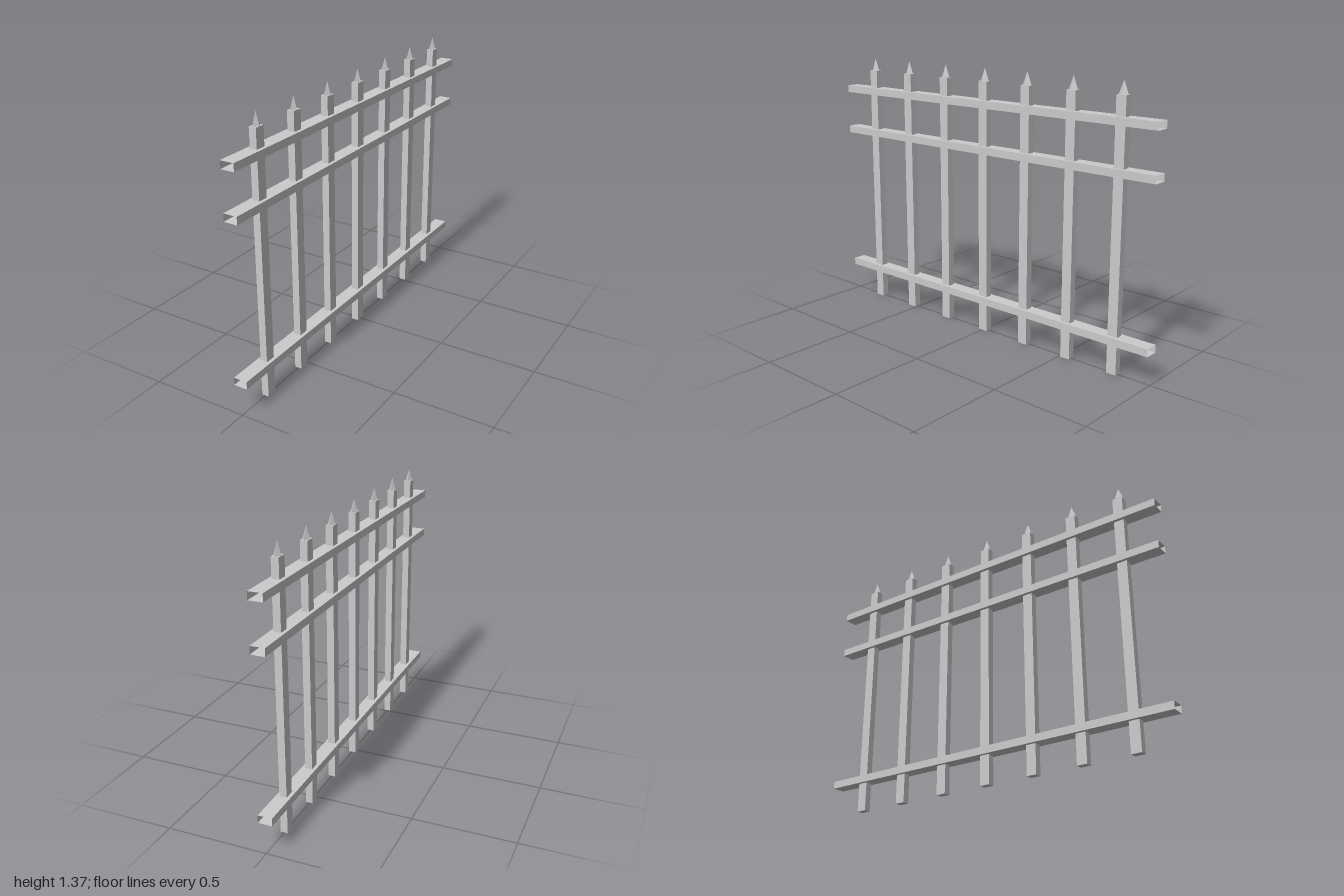
import * as THREE from 'three';

export function createModel() {
  const group = new THREE.Group();
  group.name = 'fence';
  const solid = new THREE.MeshStandardMaterial({ color: 0xcccccc, flatShading: true });
  const open = new THREE.MeshStandardMaterial({ color: 0xcccccc, flatShading: true, side: THREE.DoubleSide });

  const add = (name, geometry, material, y, z, parent) => {
    const mesh = new THREE.Mesh(geometry, material);
    mesh.name = name;
    mesh.position.set(0, y, z);
    parent.add(mesh);
  };

  // Rails: flat hollow bars with open ends
  const railHeight = 0.038;
  const railGeometry = new THREE.BoxGeometry(0.07, railHeight, 2);
  railGeometry.setIndex(Array.from(railGeometry.index.array).slice(0, 24)); // drop both end faces
  railGeometry.clearGroups();
  const rails = { bottomRail: 0.169, middleRail: 0.962, topRail: 1.192 };
  for (const [name, y] of Object.entries(rails)) add(name, railGeometry, open, y, 0, group);

  // Pickets: a post up to the top rail, a short stub above it and a four-sided spike
  const width = 0.036, depth = 0.052, shoulder = 1.305, tip = 1.37;
  const postTop = rails.topRail - railHeight / 2;
  const stubBase = rails.topRail + railHeight / 2;
  const postGeometry = new THREE.BoxGeometry(width, postTop, depth);
  const stubGeometry = new THREE.BoxGeometry(width, shoulder - stubBase, depth);
  const spikeGeometry = new THREE.ConeGeometry(1, tip - shoulder, 4).scale(width / 2, 1, depth / 2);

  for (let i = -3; i <= 3; i++) {
    const picket = new THREE.Group();
    picket.name = `picket${i + 4}`;
    picket.position.z = i * 0.267;
    add('post', postGeometry, solid, postTop / 2, 0, picket);
    add('stub', stubGeometry, solid, (stubBase + shoulder) / 2, 0, picket);
    add('spike', spikeGeometry, solid, (shoulder + tip) / 2, 0, picket);
    group.add(picket);
  }
  return group;
}
